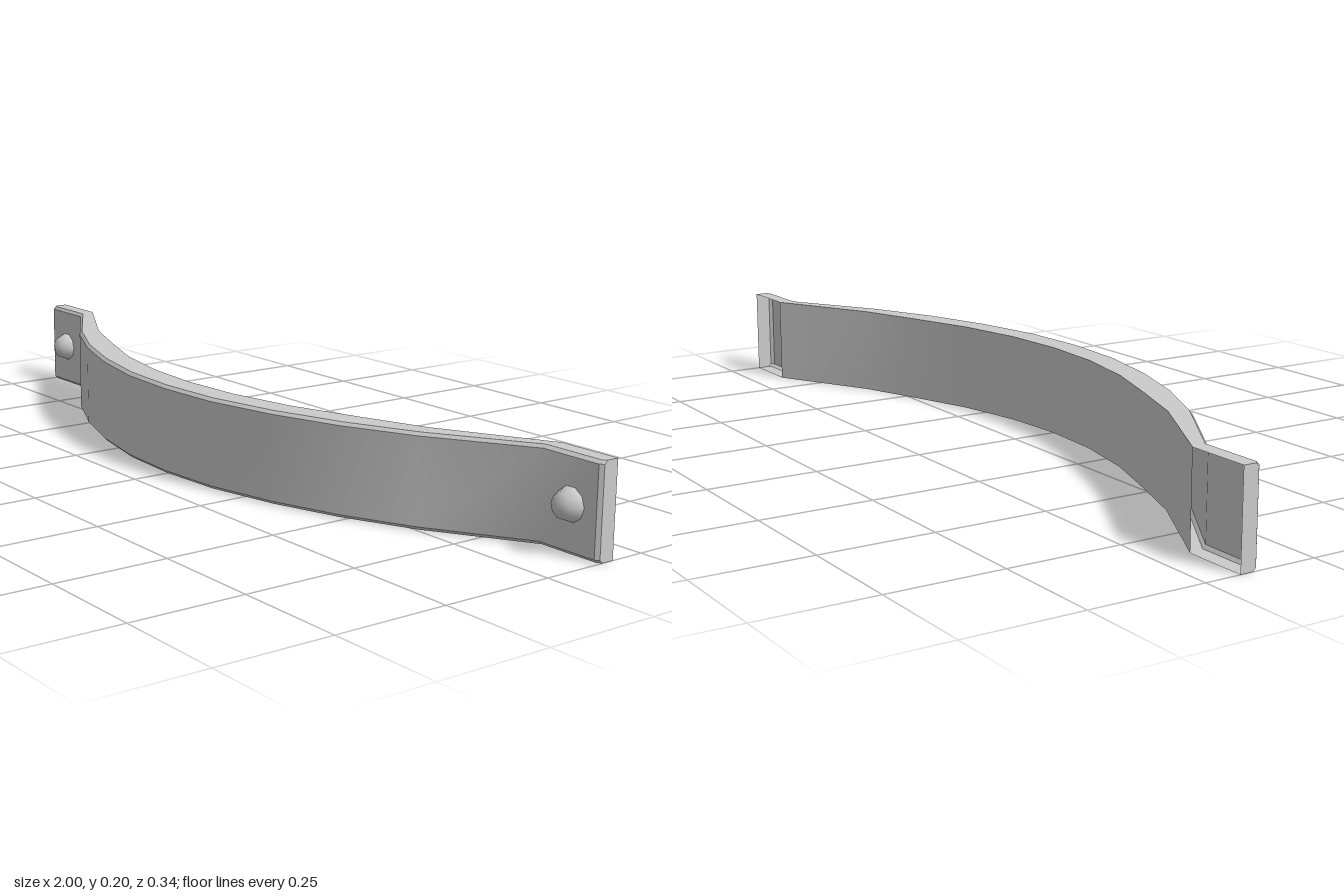
import * as THREE from 'three';
import { toCreasedNormals } from 'three/addons/utils/BufferGeometryUtils.js';

const HEIGHT = 0.2, BEVEL = 0.007;

// Half of the plan: [x of front, z of front, x of back, z of back], middle to end
const HALF = [
  [0, 0.17, 0, 0.105],
  [0.16, 0.16, 0.155, 0.095],
  [0.325, 0.125, 0.315, 0.063],
  [0.485, 0.072, 0.47, 0.01],
  [0.64, 0, 0.62, -0.045],
  [0.85, -0.13, 0.858, -0.172],
  [0.992, -0.13, 0.992, -0.172],
  [1, -0.137, 1, -0.172],
];

// Bevelled strap swept from end to end; the mounting tabs are open at the back
function strapGeometry() {
  const mirrored = HALF.slice(1).reverse().map(([xf, zf, xb, zb]) => [-xf, zf, -xb, zb]);
  const stations = [...mirrored, ...HALF];
  const positions = [], index = [], n = 6, last = stations.length - 1;
  for (const [xf, zf, xb, zb] of stations) {
    positions.push(
      xb, 0, zb,
      xf, 0, zf - BEVEL,
      xf, BEVEL, zf,
      xf, HEIGHT - BEVEL, zf,
      xf, HEIGHT, zf - BEVEL,
      xb, HEIGHT, zb,
    );
  }
  for (let i = 0; i < last; i++) {
    const isTab = i < 2 || i >= last - 2;
    for (let j = 0; j < (isTab ? n - 1 : n); j++) {
      const k = (j + 1) % n;
      const a = i * n + j, b = a + n, c = (i + 1) * n + k, d = i * n + k;
      index.push(a, b, c, a, c, d);
    }
  }
  // End walls
  const e = last * n;
  for (let k = 1; k < n - 1; k++) index.push(0, k, k + 1, e, e + k + 1, e + k);

  const geometry = new THREE.BufferGeometry();
  geometry.setAttribute('position', new THREE.Float32BufferAttribute(positions, 3));
  geometry.setIndex(index);
  return toCreasedNormals(geometry, 0.6);
}

export function createModel() {
  const group = new THREE.Group();
  group.name = 'pullHandle';
  const material = new THREE.MeshStandardMaterial({ color: 0xcccccc, side: THREE.DoubleSide });

  const strap = new THREE.Mesh(strapGeometry(), material);
  strap.name = 'strap';
  group.add(strap);

  // Low domed screw heads, one on each tab
  const dome = new THREE.SphereGeometry(0.036, 10, 2, 0, Math.PI * 2, 0, Math.PI / 2);
  dome.rotateX(Math.PI / 2);
  for (const side of [-1, 1]) {
    const screw = new THREE.Mesh(dome, material);
    screw.name = side > 0 ? 'leftScrew' : 'rightScrew';
    screw.position.set(side * 0.925, HEIGHT / 2, -0.13);
    group.add(screw);
  }
  return group;
}
